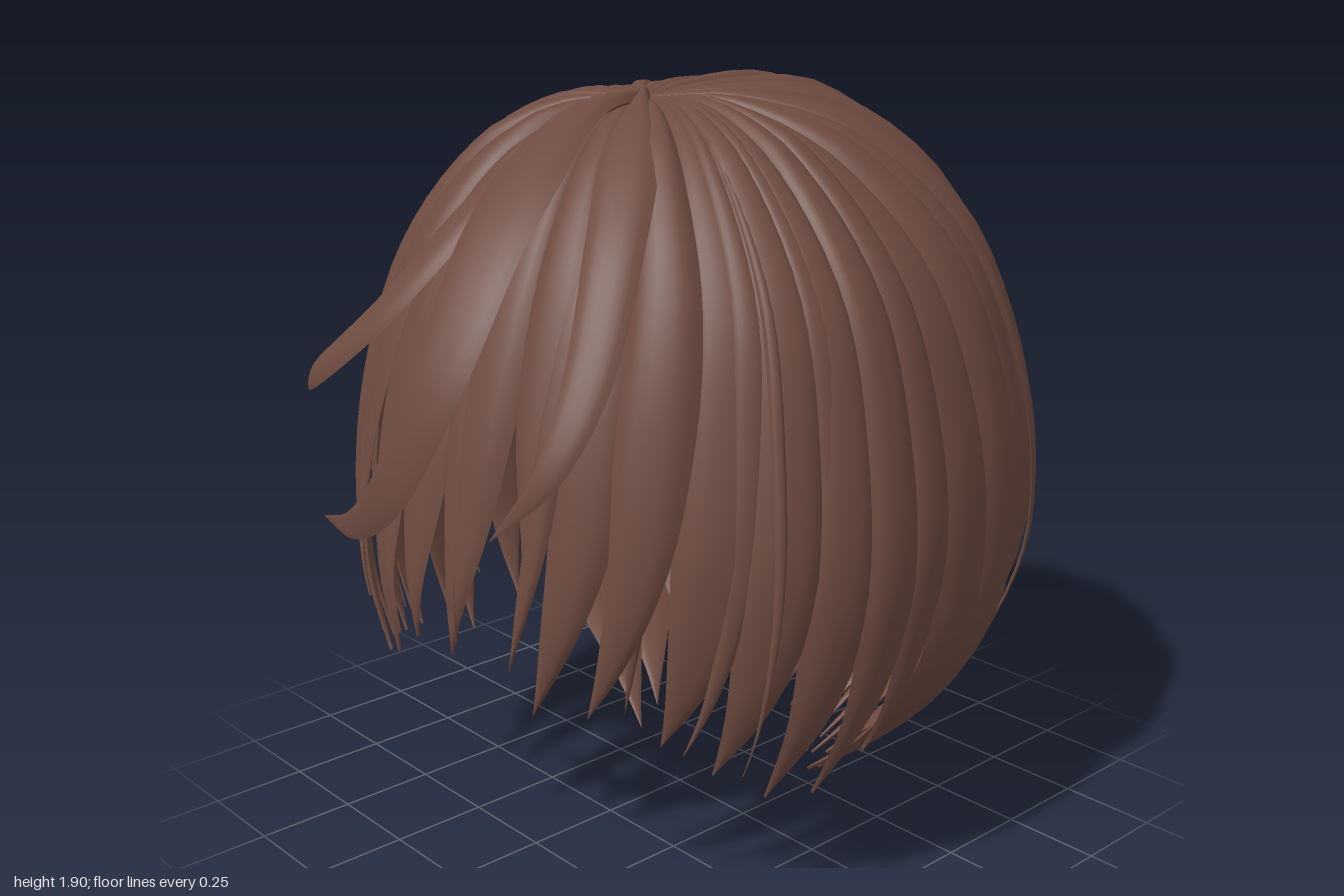
import * as THREE from 'three';

const CROWN = new THREE.Vector3(0, 1.87, 0.12);
const CORE = new THREE.Vector3(0, 0.95, 0);
const RAD = Math.PI / 180;

// Meridians of the hair shell: [distance from crown axis, height]
const meridian = pts => new THREE.CatmullRomCurve3(
  pts.map(([r, y]) => new THREE.Vector3(r, y, 0)), false, 'catmullrom', 0.5);
const FRONT = meridian([[0, 1.87], [0.17, 1.82], [0.35, 1.7], [0.5, 1.5], [0.61, 1.24], [0.67, 1.0], [0.7, 0.8], [0.69, 0.6]]);
const SIDE_FRONT = meridian([[0, 1.87], [0.24, 1.85], [0.48, 1.71], [0.68, 1.46], [0.77, 1.15], [0.8, 0.85], [0.75, 0.55], [0.62, 0.28]]);
const SIDE_BACK = meridian([[0, 1.87], [0.24, 1.85], [0.48, 1.71], [0.68, 1.46], [0.77, 1.15], [0.79, 0.85], [0.73, 0.53], [0.53, 0.26], [0.25, 0.04]]);
const BACK = meridian([[0, 1.87], [0.22, 1.88], [0.5, 1.85], [0.77, 1.69], [0.95, 1.41], [1.05, 1.1], [1.07, 0.8], [0.96, 0.38], [0.55, 0]]);

// Point on the shell; a = degrees round from the front, s = 0 crown to 1 hem
function shell(a, s, back) {
  const mid = (back ? BACK : FRONT).getPoint(s);
  const side = (back ? SIDE_BACK : SIDE_FRONT).getPoint(s);
  const sn = Math.sin(a * RAD), cs = Math.cos(a * RAD);
  // fuller behind the ears, slimmer at the temples
  const full = 1 + (cs < 0 ? 0.08 : -0.05) * Math.sin(2 * a * RAD) ** 2;
  return new THREE.Vector3(
    sn * side.x * full,
    THREE.MathUtils.lerp(mid.y, side.y, sn * sn),
    CROWN.z + cs * mid.x);
}

let seed = 7;
const rand = (lo, hi) => {
  seed = (seed * 16807) % 2147483647;
  return lo + (hi - lo) * seed / 2147483647;
};

// Closed strand: gently rounded outer face and shallower inner face
function lens(surface, rows, cols = 8) {
  const pos = [], idx = [];
  for (const face of [1, -0.5]) {
    const base = pos.length / 3;
    for (let i = 0; i <= rows; i++)
      for (let j = 0; j <= cols; j++) {
        const u = j / cols * 2 - 1;
        pos.push(...surface(u, i / rows, face * (1 - Math.abs(u) ** 3)).toArray());
      }
    for (let i = 0; i < rows; i++)
      for (let j = 0; j < cols; j++) {
        const a = base + i * (cols + 1) + j, b = a + 1, c = a + cols + 1, d = c + 1;
        if (face > 0) idx.push(a, c, b, b, c, d);
        else idx.push(a, b, c, b, d, c);
      }
  }
  const g = new THREE.BufferGeometry();
  g.setAttribute('position', new THREE.Float32BufferAttribute(pos, 3));
  g.setIndex(idx);
  g.computeVertexNormals();
  return g;
}

// Strand lying on the shell
function strand({ a, half, length, skew = 0, taper = 0.7, bulge = 0.03, offset = 0, lift = 0, back = false }) {
  return lens((u, t, h) => {
    const k = Math.max(0, (t - taper) / (1 - taper));
    const w = half * (1 - Math.pow(k, 1.4));
    const p = shell(a + u * w + skew * t * t * t, t * length, back);
    const out = p.clone().sub(CORE).normalize();
    const grow = Math.min(1, t * 4);
    return p.addScaledVector(out, grow * (h * bulge * (1 - k * 0.8) + offset) + lift * t * t);
  }, 32);
}

// Loose lock following a free curve
function lock(points, width, bulge) {
  const curve = new THREE.CatmullRomCurve3(points.map(p => new THREE.Vector3(...p)));
  return lens((u, t, h) => {
    const p = curve.getPoint(t), T = curve.getTangent(t);
    const N = p.clone().sub(CORE);
    N.addScaledVector(T, -N.dot(T)).normalize();
    const S = N.clone().cross(T);
    const w = width * Math.min(1, 0.15 + t * 3) * (1 - Math.pow(t, 2.5));
    return p.addScaledVector(S, u * w).addScaledVector(N, h * bulge * (1 - t));
  }, 36);
}

export function createModel() {
  const model = new THREE.Group();
  model.name = 'hair';
  const brown = new THREE.MeshStandardMaterial({ color: 0x6e4b40 });
  brown.name = 'brown hair';
  const part = name => {
    const g = new THREE.Group();
    g.name = name;
    model.add(g);
    return (geo, label) => {
      const m = new THREE.Mesh(geo, brown);
      m.name = label;
      g.add(m);
    };
  };

  // Long back hair curling in at the nape
  const addBack = part('backHair');
  const nBack = 17;
  for (let i = 0; i < nBack; i++) {
    const a = 108 + 144 * i / (nBack - 1);
    addBack(strand({
      a, half: 6.4, length: rand(0.95, 1.0), skew: rand(-3, 3), taper: 0.86,
      offset: (i % 2) * 0.014 + rand(-0.008, 0.004), back: true
    }), 'backStrand');
  }

  // Fringe parted in clumps, and side hair growing longer towards the ears
  const addFront = part('fringe');
  const nFront = 19, centre = 9;
  for (let i = 0; i < nFront; i++) {
    const a = -106 + 212 * i / (nFront - 1), n = Math.abs(i - centre);
    const length = n === 2 ? 0.74 : n > 4 ? rand(0.93, 1.0) : rand(0.92, 1.0);
    addFront(strand({
      a, half: 7.6, length,
      skew: n === 9 ? -a * 0.08 : -a * 0.1 + rand(-3, 3), taper: n > 4 ? 0.72 : 0.55,
      offset: n === 9 ? 0.018 : (i % 2) * 0.014 + rand(-0.006, 0.006)
    }), 'fringeStrand');
  }

  // Narrow overlay strands on the fringe and sides
  const addOver = part('overlayStrands');
  for (let i = 0; i < 10; i++) {
    const a = -80 + 160 * i / 9 + rand(-3, 3);
    addOver(strand({
      a, half: rand(3, 4.5), length: rand(0.9, 0.98), skew: rand(-6, 6),
      taper: 0.5, bulge: 0.022, offset: 0.012
    }), 'overlayStrand');
  }

  // Thin flyaway wisps on both sides
  const addWisp = part('wisps');
  for (const s of [-1, 1]) {
    for (const [a, length, lift] of [[114, 0.82, 0.01], [131, 0.86, 0.05], [150, 0.86, 0.01]])
      addWisp(strand({
        a: s * a, half: 2.2, length, skew: s * 3, taper: 0.5,
        bulge: 0.015, offset: 0.015, lift, back: true
      }), 'backWisp');
    addWisp(strand({
      a: s * 67, half: 1.5, length: 0.92, taper: 0.5, bulge: 0.012, offset: 0.02, lift: 0.05
    }), 'sideWisp');
  }

  // Loose locks swept over the forehead
  const addLock = part('looseLocks');
  addLock(lock([[0.01, 1.87, 0.12], [0.1, 1.85, 0.4], [0.22, 1.66, 0.71], [0.26, 1.38, 0.91],
    [0.16, 1.12, 0.98], [-0.05, 0.97, 0.95], [-0.3, 0.91, 0.88]], 0.095, 0.025), 'largeLock');
  addLock(lock([[0, 1.87, 0.12], [0.05, 1.83, 0.38], [0.04, 1.66, 0.65], [-0.06, 1.44, 0.84],
    [-0.25, 1.28, 0.9], [-0.4, 1.23, 0.83], [-0.55, 1.22, 0.72]], 0.06, 0.025), 'crossingLock');
  addLock(lock([[0.02, 1.87, 0.13], [0.2, 1.82, 0.32], [0.38, 1.62, 0.53], [0.47, 1.35, 0.69],
    [0.46, 1.17, 0.79], [0.34, 1.01, 0.86]], 0.075, 0.03), 'sideLock');

  return model;
}
